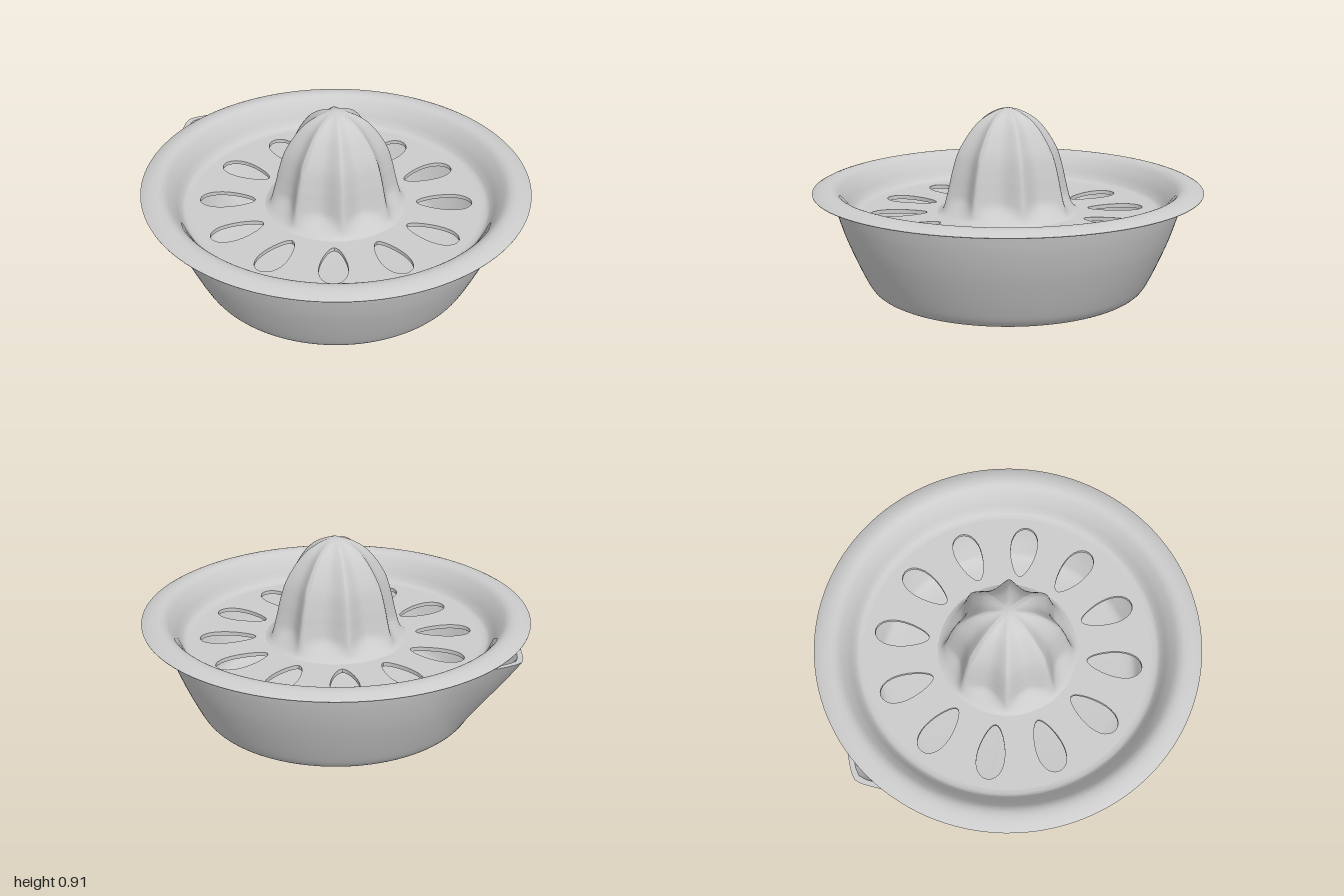
import * as THREE from 'three';
import { toCreasedNormals } from 'three/addons/utils/BufferGeometryUtils.js';

const CENTRE_X = 0.035;
const material = new THREE.MeshStandardMaterial({ color: 0xcccccc, side: THREE.DoubleSide });
const points = (list) => list.map(([r, y]) => new THREE.Vector2(r, y));
const smooth = (list, n) => new THREE.SplineCurve(points(list)).getPoints(n);

function addPart(group, name, geometry) {
  const mesh = new THREE.Mesh(geometry, material);
  mesh.name = name;
  group.add(mesh);
}

// Rescale the radius of every vertex by a rule of angle, height and radius.
function scaleRadius(geometry, rule) {
  const p = geometry.attributes.position;
  for (let i = 0; i < p.count; i++) {
    const x = p.getX(i), y = p.getY(i), z = p.getZ(i);
    const k = rule(Math.atan2(z, x), y, Math.hypot(x, z));
    p.setXYZ(i, x * k, y, z * k);
  }
  return geometry;
}

// Bowl with a wall, drawn out into a pouring spout on the -x side.
function bowlGeometry() {
  const outer = smooth([[0.62, 0], [0.66, 0.006], [0.695, 0.035], [0.73, 0.1], [0.775, 0.2],
    [0.815, 0.3], [0.847, 0.4], [0.864, 0.47], [0.87, 0.5]], 32);
  const inner = smooth([[0.845, 0.5], [0.82, 0.4], [0.75, 0.2], [0.705, 0.1], [0.67, 0.045],
    [0.6, 0.025]], 24);
  const profile = [...points([[0, 0]]), ...outer, ...inner, ...points([[0, 0.025]])];
  const geometry = new THREE.LatheGeometry(profile, 160);
  scaleRadius(geometry, (angle, y) => {
    const lift = Math.max(0, (y - 0.03) / 0.47);
    const reach = 1 + 0.2 * Math.pow(lift, 1.3);
    const tangent = Math.acos(1 / reach);
    const away = Math.hypot(Math.PI - Math.abs(angle), 0.03);
    return away < tangent ? 1 / Math.cos(tangent - away) : 1;
  });
  return toCreasedNormals(geometry, 0.8);
}

// Tray rim: rolled flange sweeping down to the strainer floor.
function rimGeometry() {
  const top = smooth([[0.97, 0.51], [0.945, 0.523], [0.91, 0.533], [0.875, 0.532], [0.845, 0.515],
    [0.81, 0.47], [0.782, 0.42], [0.762, 0.397], [0.735, 0.39]], 36);
  const under = smooth([[0.735, 0.37], [0.775, 0.376], [0.8, 0.41], [0.825, 0.46], [0.85, 0.503],
    [0.88, 0.515], [0.92, 0.514], [0.969, 0.507]], 30);
  return toCreasedNormals(new THREE.LatheGeometry([...under, ...top], 128), 0.8);
}

// Strainer floor with a ring of egg-shaped drain holes.
function floorGeometry() {
  const shape = new THREE.Shape().absarc(0, 0, 0.737, 0, Math.PI * 2);
  shape.holes.push(new THREE.Path().absarc(0, 0, 0.33, 0, Math.PI * 2, true));
  for (let i = 0; i < 12; i++) {
    const turn = THREE.MathUtils.degToRad(7.5 + 30 * i);
    const outline = [];
    for (let j = 0; j < 28; j++) {
      const t = -j / 28 * Math.PI * 2;
      const along = 0.547 + 0.14 * Math.cos(t);
      const across = 0.067 * Math.sin(t) * (1 + 0.3 * Math.cos(t));
      outline.push(new THREE.Vector2(along, across).rotateAround(new THREE.Vector2(), turn));
    }
    shape.holes.push(new THREE.Path(outline));
  }
  const geometry = new THREE.ExtrudeGeometry(shape, { depth: 0.02, bevelEnabled: false, curveSegments: 64 });
  return geometry.rotateX(-Math.PI / 2).translate(0, 0.37, 0);
}

// Reaming cone: domed, with eight ridges and hollow flutes that fade into the foot.
function reamerGeometry() {
  const profile = smooth([[0.36, 0.388], [0.338, 0.405], [0.323, 0.44], [0.3, 0.53], [0.284, 0.6],
    [0.252, 0.7], [0.19, 0.8], [0.13, 0.86], [0.055, 0.9], [0, 0.912]], 48);
  profile[profile.length - 1].x = 0;
  const geometry = new THREE.LatheGeometry(profile, 160);
  scaleRadius(geometry, (angle, y) => {
    const depth = 0.19 * THREE.MathUtils.smoothstep(y, 0.38, 0.48);
    return 1 - depth * (Math.hypot(Math.sin(4 * angle), 0.1) - 0.1);
  });
  return toCreasedNormals(geometry, 1.0);
}

export function createModel() {
  const model = new THREE.Group();
  model.name = 'citrusJuicer';
  const body = new THREE.Group();
  body.name = 'juicerBody';
  body.position.x = CENTRE_X;
  model.add(body);

  addPart(body, 'bowl', bowlGeometry());

  const tray = new THREE.Group();
  tray.name = 'strainerTray';
  body.add(tray);
  addPart(tray, 'trayRim', rimGeometry());
  addPart(tray, 'strainerFloor', floorGeometry());
  addPart(tray, 'reamer', reamerGeometry());
  return model;
}
